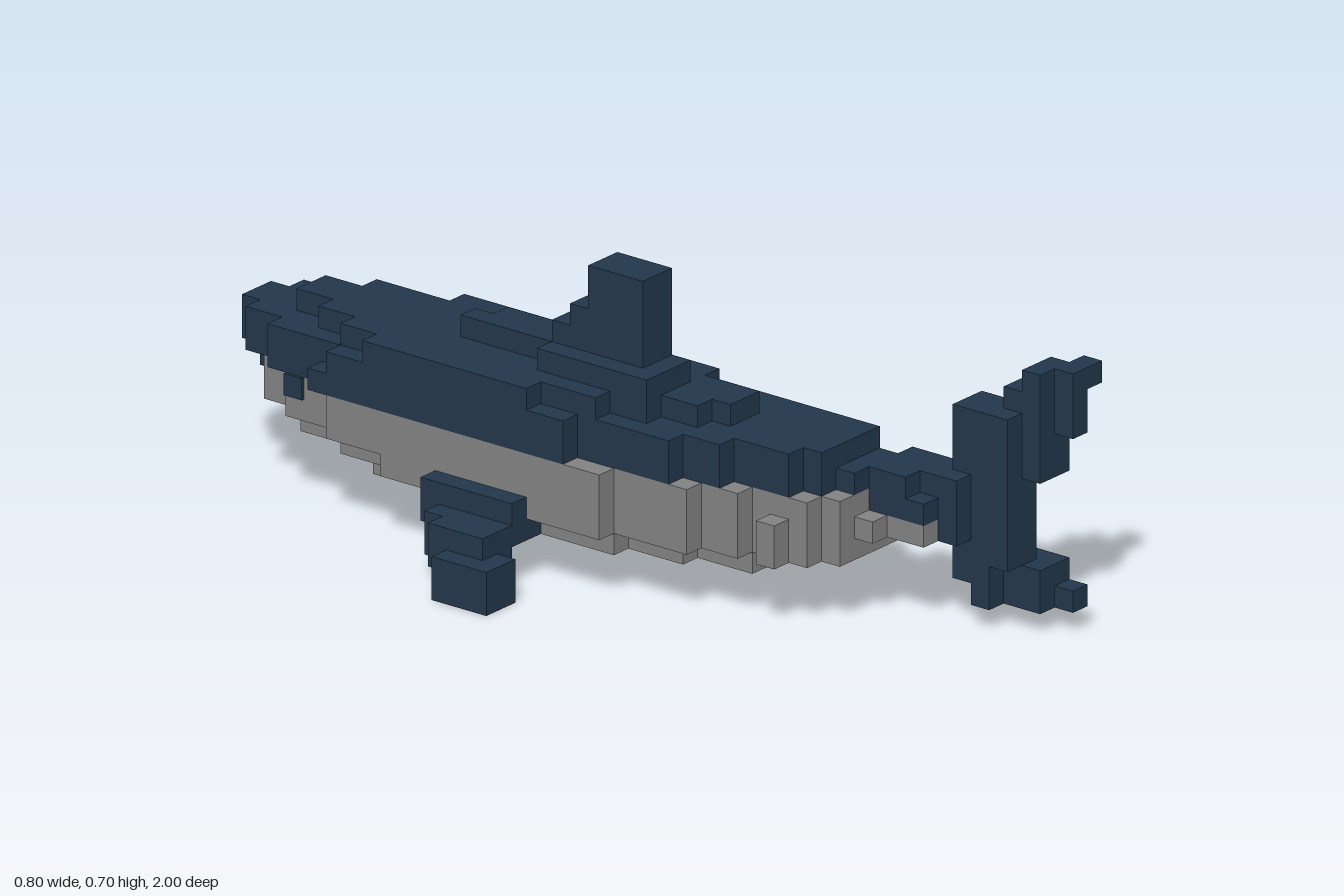
import * as THREE from 'three';

const U = 0.05; // edge length of one block
const navy = new THREE.MeshStandardMaterial({ color: 0x23374b });
navy.name = 'navy skin';
const grey = new THREE.MeshStandardMaterial({ color: 0x828282 });
grey.name = 'grey belly';

export function createModel() {
  const model = new THREE.Group();
  model.name = 'shark';

  // Stepped slab between two heights; each run is [zStart, xMin, xMax].
  function layer(name, material, y0, y1, runs, zEnd) {
    const left = [], right = [];
    runs.forEach(([z, a, b], i) => {
      const z1 = i + 1 < runs.length ? runs[i + 1][0] : zEnd;
      left.push([a, z], [a, z1]);
      right.push([b, z], [b, z1]);
    });
    const outline = [...left, ...right.reverse()]
      .filter((p, i, all) => i === 0 || p[0] !== all[i - 1][0] || p[1] !== all[i - 1][1])
      .map(([x, z]) => new THREE.Vector2(x * U, -z * U));
    const geometry = new THREE.ExtrudeGeometry(new THREE.Shape(outline), {
      depth: (y1 - y0) * U, bevelEnabled: false,
    });
    geometry.rotateX(-Math.PI / 2).translate(0, y0 * U, 0);
    const mesh = new THREE.Mesh(geometry, material);
    mesh.name = name;
    model.add(mesh);
  }

  // Box from block bounds.
  function block(name, material, x0, x1, y0, y1, z0, z1, parent = model) {
    const mesh = new THREE.Mesh(
      new THREE.BoxGeometry((x1 - x0) * U, (y1 - y0) * U, (z1 - z0) * U), material);
    mesh.position.set((x0 + x1) * U / 2, (y0 + y1) * U / 2, (z0 + z1) * U / 2);
    mesh.name = name;
    parent.add(mesh);
  }

  // Belly, widening upward, with the rear curving to the left
  layer('bellyBottom', grey, 2, 3, [
    [-12, -2, 2], [-8, -3, 3], [2, -2, 3], [5, -1, 3]], 8);
  layer('bellyLower', grey, 3, 4, [
    [-16, -2, 2], [-13, -3, 3], [-10, -4, 4], [2, -3, 4], [6, -2, 4], [8, -1, 4], [11, 0, 4]], 12);
  layer('bellyUpper', grey, 4, 6, [
    [-18, -2, 2], [-16, -3, 3], [-13, -4, 3], [-11, -4, 4], [2, -3, 4], [6, -2, 4],
    [8, -1, 4], [11, 0, 4]], 12);
  layer('tailUnderside', grey, 4, 5, [[12, 1, 4], [13, 2, 5]], 15);
  block('leftBellyBump', grey, 4, 5, 3, 5, 7, 9);
  block('rightBellyBump', grey, -2, -1, 3, 5, 9, 10);
  block('bellyKeel', grey, -1, 0, 1, 2, -4, -2);

  // Back and head
  layer('lowerBack', navy, 6, 7, [
    [-20, -1, 1], [-19, -2, 2], [-17, -3, 2], [-16, -3, 3], [-14, -4, 3], [-11, -4, 4],
    [0, -3, 4], [5, -2, 4], [7, -1, 4], [10, 0, 4], [11, 1, 4], [12, 2, 5], [14, 3, 5]], 15);
  layer('middleBack', navy, 7, 8, [
    [-20, -1, 1], [-19, -2, 2], [-17, -3, 2], [-15, -3, 3], [-13, -4, 3], [-10, -4, 4],
    [0, -3, 4], [5, -2, 4], [7, -1, 4], [10, 0, 4]], 11);
  layer('upperBack', navy, 8, 9, [
    [-17, -1, 1], [-15, -2, 2], [-13, -3, 2], [-11, -4, 3], [-2, -3, 3], [1, -2, 3],
    [3, -1, 2], [5, 0, 2]], 6);
  layer('backRidge', navy, 9, 10, [[-8, -1, 0], [-7, -1, 1], [-3, -2, 1]], 3);
  layer('tailStalk', navy, 5, 6, [[12, 2, 4], [13, 2, 5]], 15);
  block('snout', navy, -1, 1, 5, 6, -19, -18);
  for (const s of [-1, 1]) {
    block(s > 0 ? 'leftEye' : 'rightEye', navy, s * 3 - 0.15, s * 3 + 0.15, 5, 6, -16, -15);
  }

  // Dorsal fin, stepped up toward the rear
  const dorsal = new THREE.Group();
  dorsal.name = 'dorsalFin';
  model.add(dorsal);
  [[10, 11, -3], [11, 12, -2], [12, 14, -1]].forEach(([y0, y1, z0]) =>
    block('dorsalStep', navy, -1, 1, y0, y1, z0, 2, dorsal));

  // Pectoral fins, swept out, down and back: [x0, x1, y0, y1, z0, z1]
  for (const s of [-1, 1]) {
    const fin = new THREE.Group();
    fin.name = s > 0 ? 'leftPectoralFin' : 'rightPectoralFin';
    model.add(fin);
    const tip = s > 0 ? -3 : -4;
    [[3, 4, 2, 3, -7, -2], [4, 5, 2, 4, -7, -2], [5, 6, 1, 3, -6, -2],
      [6, 7, 1, 3, -5, -2], [6, 7, 0, 1, -4, -1], [6, 7, 0, 2, -2, -1], [7, 8, 0, 2, tip, -1]]
      .forEach(([a, b, y0, y1, z0, z1]) =>
        block('finSegment', navy, Math.min(s * a, s * b), Math.max(s * a, s * b), y0, y1, z0, z1, fin));
  }

  // Forked tail fin, turning to the left as it goes back
  const tail = new THREE.Group();
  tail.name = 'tailFin';
  model.add(tail);
  [[3, 6, 4, 7, 15, 16], [4, 6, 2, 10, 15, 16], [4, 6, 1, 10, 16, 17],
    [4, 6, 3, 10, 17, 18], [5, 7, 1, 3, 17, 18], [5, 7, 7, 11, 17, 18],
    [5, 7, 7, 12, 18, 19], [5, 7, 1, 3, 18, 19],
    [6, 7, 9, 12, 19, 20], [7, 8, 11, 12, 19, 20], [6, 7, 1, 2, 19, 20]]
    .forEach((b) => block('tailSegment', navy, ...b, tail));

  return model;
}
